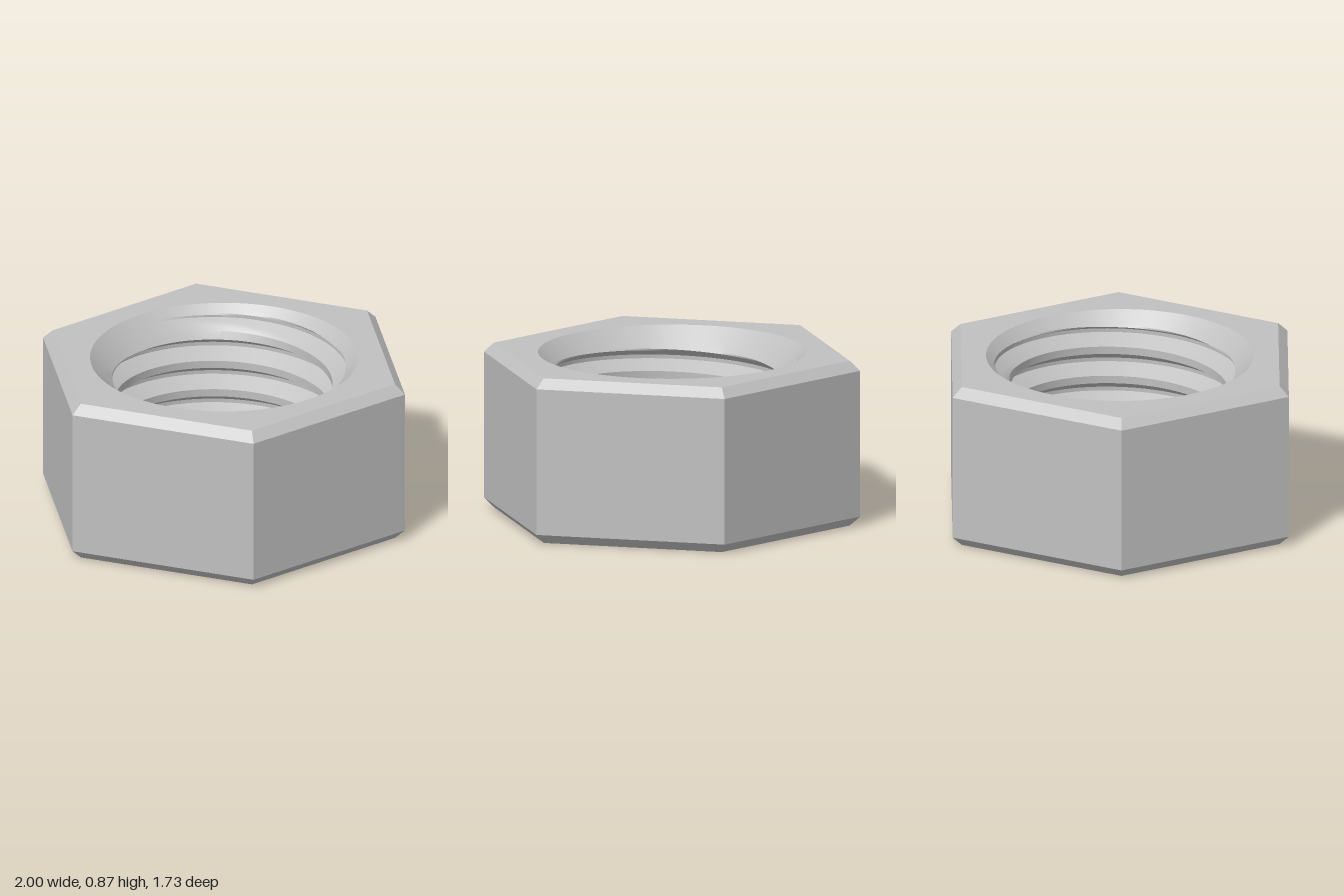
import * as THREE from 'three';
import { toCreasedNormals } from 'three/addons/utils/BufferGeometryUtils.js';

const H = 0.866, BEVEL = 0.05, TOP_R = 0.945;   // hexagon body
const CREST = 0.56, ROOT = 0.645, MOUTH = 0.69; // bore radii
const PITCH = 0.16, SEG = 144;

// One pitch of the thread, measured up from the middle of the root: [height, radius]
const profile = [[0, ROOT], [0.01, ROOT]];
const FLANK = 6;
for (let i = 1; i <= FLANK; i++) {
  const t = i / FLANK;
  profile.push([0.01 + 0.05 * t, ROOT + (CREST - ROOT) * t]);
}
for (let i = 0; i <= FLANK; i++) {
  const t = i / FLANK;
  profile.push([0.10 + 0.05 * t, CREST + (ROOT - CREST) * t]);
}

function threadRadius(h) {
  const d = Math.abs(h - PITCH * Math.round(h / PITCH));
  const t = THREE.MathUtils.clamp((d - 0.01) / 0.05, 0, 1);
  return ROOT + (CREST - ROOT) * t;
}

// Helical thread, opened out by a 45 degree countersink at both ends
function boreGeometry() {
  const point = (i, turn, k) => {
    const a = (i / SEG) * Math.PI * 2;
    const base = 0.80 + PITCH * (a - 1.33) / (Math.PI * 2);
    const y = THREE.MathUtils.clamp(base + turn * PITCH + profile[k][0], 0, H);
    const r = Math.max(threadRadius(y - base), MOUTH - Math.min(y, H - y));
    return new THREE.Vector3(r * Math.cos(a), y, -r * Math.sin(a));
  };
  const out = [];
  const tri = (...p) => {
    const area = p[1].clone().sub(p[0]).cross(p[2].clone().sub(p[0])).length();
    if (area > 1e-9) p.forEach((v) => out.push(v.x, v.y, v.z));
  };
  for (let turn = -7; turn <= 2; turn++) {
    for (let k = 0; k < profile.length; k++) {
      const last = k === profile.length - 1;
      const upTurn = last ? turn + 1 : turn, upK = last ? 0 : k + 1;
      for (let i = 0; i < SEG; i++) {
        const a = point(i, turn, k), b = point(i + 1, turn, k);
        const c = point(i, upTurn, upK), d = point(i + 1, upTurn, upK);
        tri(a, c, b);
        tri(b, c, d);
      }
    }
  }
  const geo = new THREE.BufferGeometry();
  geo.setAttribute('position', new THREE.Float32BufferAttribute(out, 3));
  return toCreasedNormals(geo, 0.3);
}

// Flat hexagon with the round mouth cut out
function faceGeometry() {
  const ring = (r, n) => Array.from({ length: n }, (_, i) => {
    const a = (i / n) * Math.PI * 2;
    return new THREE.Vector2(r * Math.cos(a), r * Math.sin(a));
  });
  const shape = new THREE.Shape(ring(TOP_R, 6));
  shape.holes.push(new THREE.Path(ring(MOUTH, SEG)));
  return new THREE.ShapeGeometry(shape);
}

export function createModel() {
  const nut = new THREE.Group();
  nut.name = 'hexNut';
  const steel = new THREE.MeshStandardMaterial({ color: 0xc0c0c0 });
  steel.name = 'steel grey';

  const add = (name, geo, y = 0) => {
    const mesh = new THREE.Mesh(geo, steel);
    mesh.name = name;
    mesh.position.y = y;
    nut.add(mesh);
    return mesh;
  };

  // Six flats and the bevels above and below them
  const band = (rTop, rBottom, h) => toCreasedNormals(
    new THREE.CylinderGeometry(rTop, rBottom, h, 6, 1, true, Math.PI / 6), 0.1);
  add('sideFlats', band(1, 1, H - 2 * BEVEL), H / 2);
  add('topBevel', band(TOP_R, 1, BEVEL), H - BEVEL / 2);
  add('bottomBevel', band(1, TOP_R, BEVEL), BEVEL / 2);

  // End faces
  add('topFace', faceGeometry(), H).rotation.x = -Math.PI / 2;
  add('bottomFace', faceGeometry()).rotation.x = Math.PI / 2;

  add('threadedBore', boreGeometry());
  return nut;
}
